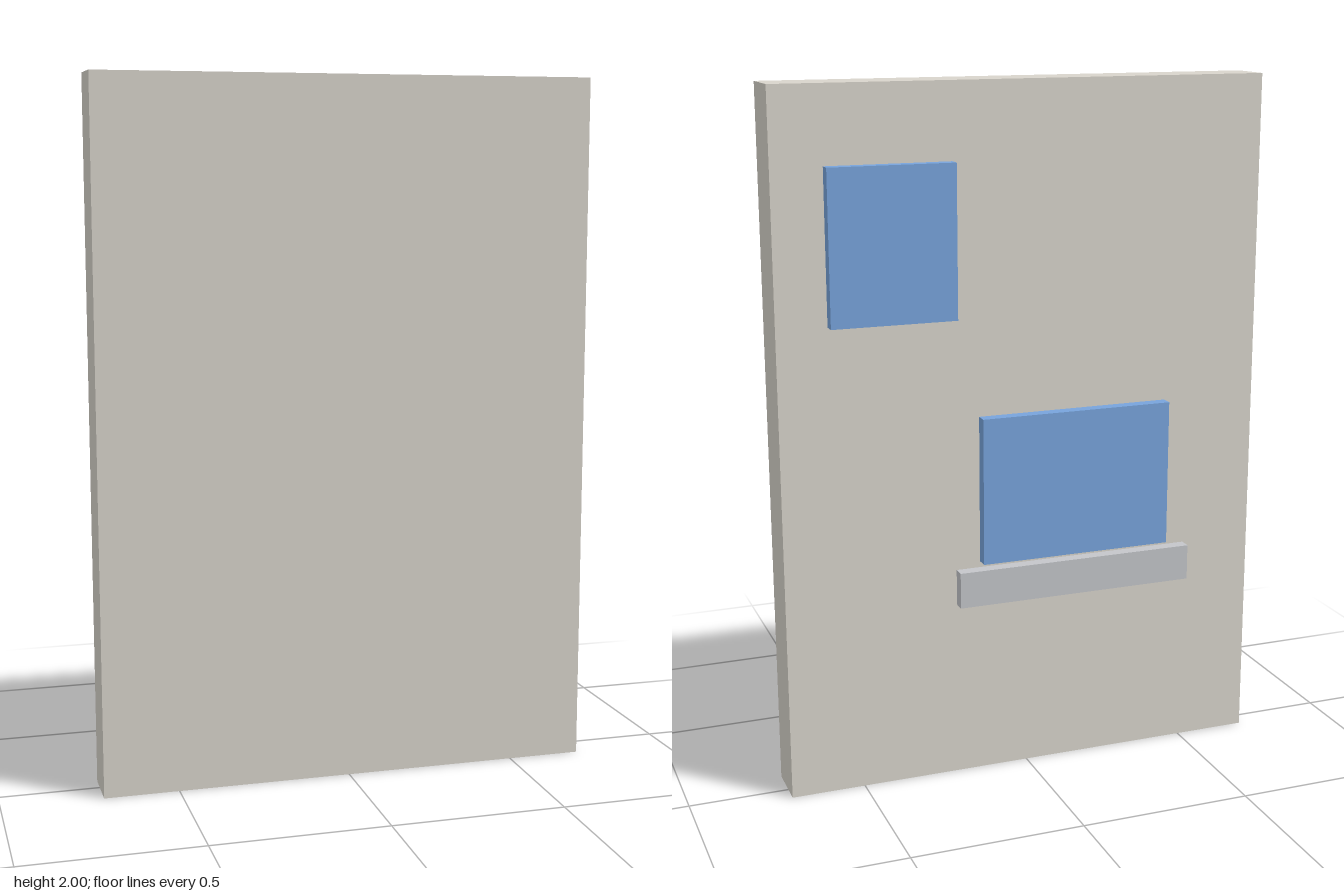
import * as THREE from 'three';

// Box given by its min/max extents on each axis
function slab(name, color, [x0, x1], [y0, y1], [z0, z1]) {
  const mesh = new THREE.Mesh(
    new THREE.BoxGeometry(x1 - x0, y1 - y0, z1 - z0),
    new THREE.MeshStandardMaterial({ color })
  );
  mesh.position.set((x0 + x1) / 2, (y0 + y1) / 2, (z0 + z1) / 2);
  mesh.name = name;
  return mesh;
}

export function createModel() {
  const group = new THREE.Group();
  group.name = 'wallPanel';
  const wallBack = -0.0536;
  const fittings = [-0.0893, wallBack]; // depth of the parts mounted on the back

  // Wall
  group.add(slab('wall', 0xd9d5cc, [-0.714, 0.714], [0, 2], [wallBack, 0.0893]));

  // Window panes and sill
  group.add(slab('upperWindow', 0x78a4dc, [0.214, 0.571], [1.357, 1.786], fittings));
  group.add(slab('lowerWindow', 0x78a4dc, [-0.429, 0.143], [0.643, 1.071], fittings));
  group.add(slab('windowSill', 0xc4c6ca, [-0.5, 0.214], [0.52, 0.625], fittings));

  return group;
}
